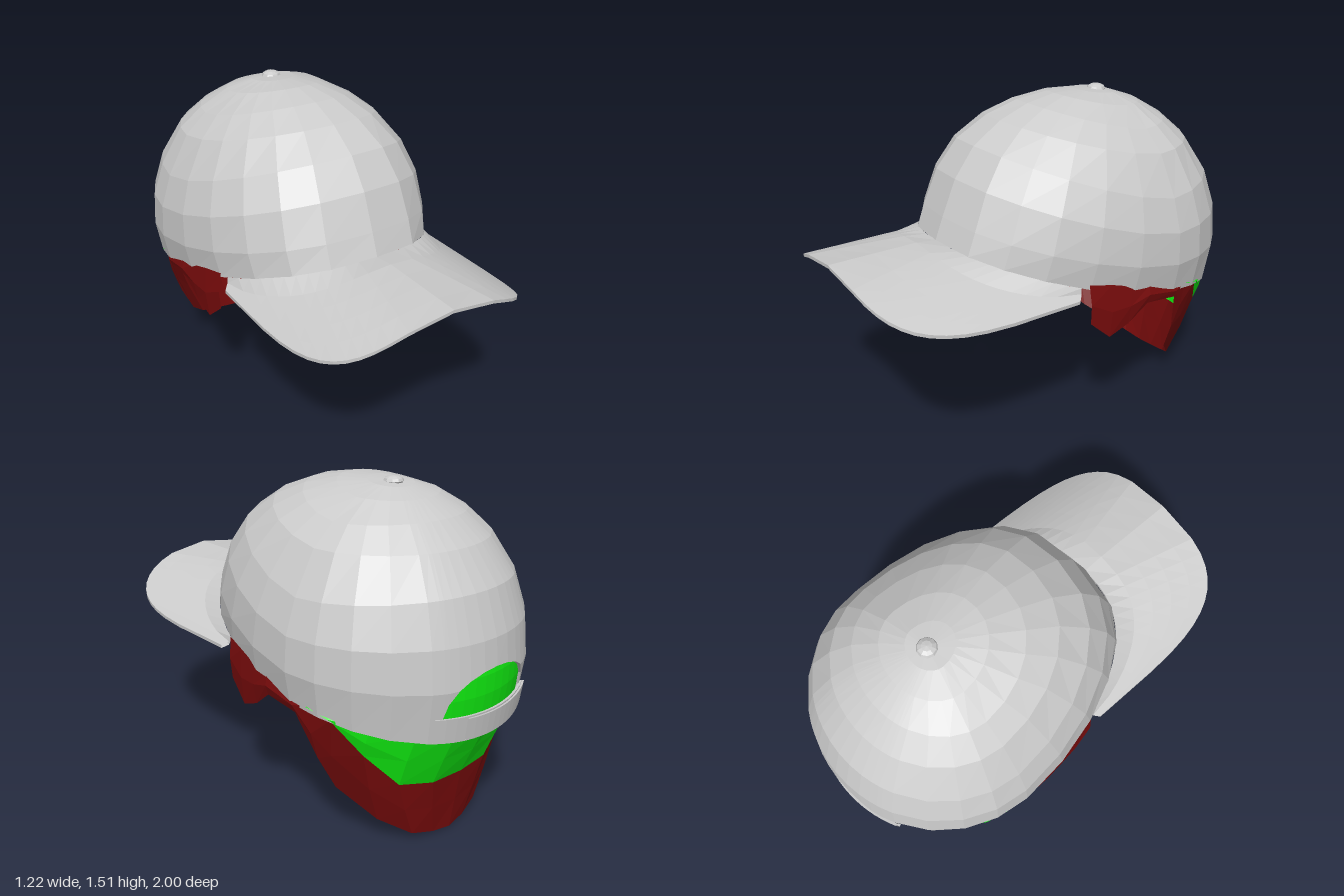
import * as THREE from 'three';

const mat = (color) => new THREE.MeshStandardMaterial({ color, flatShading: true, side: THREE.DoubleSide });
const grey = mat(0xcccccc);
const green = mat(0x11ee11);
const red = mat(0x7a0c0c);

// Skin a grid of points: rows[i][j] = [x, y, z]
function skin(rows, name, material) {
  const n = rows[0].length, index = [];
  for (let i = 0; i < rows.length - 1; i++) {
    for (let j = 0; j < n - 1; j++) {
      const a = i * n + j, b = a + 1, c = a + n, d = c + 1;
      index.push(a, b, d, a, d, c);
    }
  }
  const g = new THREE.BufferGeometry();
  g.setAttribute('position', new THREE.Float32BufferAttribute(rows.flat(2), 3));
  g.setIndex(index);
  g.computeVertexNormals();
  const mesh = new THREE.Mesh(g, material);
  mesh.name = name;
  return mesh;
}

// Crown profiles, rim to apex: [distance from the apex axis, height]
const AXIS = -0.41;
const SIDE = [[0.585, 0.66], [0.61, 0.8], [0.6, 0.95], [0.55, 1.1], [0.45, 1.28], [0.35, 1.37], [0.22, 1.45], [0.1, 1.485], [0, 1.49]];
const FRONT = [[0.9, 0.94], [0.86, 1.04], [0.79, 1.2], [0.69, 1.33], [0.55, 1.42], [0.4, 1.475], [0.25, 1.5], [0.12, 1.5], [0, 1.49]];
const BACK = [[0.56, 0.53], [0.59, 0.77], [0.57, 0.95], [0.51, 1.13], [0.4, 1.28], [0.29, 1.375], [0.18, 1.44], [0.08, 1.475], [0, 1.49]];

function sample(profile, t) {
  const i = Math.min(Math.floor(t), profile.length - 2), f = t - i;
  return [0, 1].map((k) => profile[i][k] * (1 - f) + profile[i + 1][k] * f);
}

// Point on the crown at angle a (0 = front, in degrees) and profile position t
function crown(a, t, scale = 1) {
  const s = Math.sin(a * Math.PI / 180), c = Math.cos(a * Math.PI / 180);
  const side = sample(SIDE, t), end = sample(c > 0 ? FRONT : BACK, t);
  const power = c > 0 ? 0.75 + 0.03 * t : 1;
  const w = Math.abs(c) ** 1.3;
  return [
    Math.sign(s) * Math.abs(s) ** power * side[0] * scale,
    side[1] * (1 - w) + end[1] * w - (1 - scale) * t * 0.1,
    AXIS + c * end[0] * scale,
  ];
}

// Lower edge of the crown, raised to an arch at the back
const NOTCH = 25;
function edge(a) {
  const u = Math.abs(a - 180) / NOTCH;
  return u < 1 ? 0.4 + 0.95 * Math.sqrt(1 - u * u) : 0;
}

function buildCrown() {
  const angles = [];
  for (let a = 0; a <= 150; a += 15) angles.push(a);
  angles.push(155, 155.1, 157, 161, 166, 173);
  const all = [...angles, 180, ...angles.map((a) => 360 - a).reverse()];
  const rows = [];
  // Inner wall down to the edge, then outer wall up to the apex
  for (let t = 8; t >= 0; t--) rows.push(all.map((a) => crown(a, Math.max(t, edge(a)), 0.97)));
  for (let t = 0; t <= 8; t++) rows.push(all.map((a) => crown(a, Math.max(t, edge(a)))));
  return skin(rows, 'crown', grey);
}

// Brim: from the front rim of the crown to a rounded, arched outline
function buildBrim() {
  const cols = 24, steps = 5, rows = [];
  const point = (j, k, drop) => {
    const u = (j / cols) * 2 - 1;
    const p = u * Math.PI / 2, sx = Math.sin(p), cz = Math.abs(Math.cos(p));
    const inner = crown(u * 57, 0, 0.995);
    const outer = [Math.sign(sx) * 0.54 * Math.abs(sx) ** 0.47, 0, 0.11 + 0.885 * cz ** 0.47];
    const f = k / steps;
    const x = inner[0] * (1 - f) + outer[0] * f, z = inner[2] * (1 - f) + outer[2] * f;
    const arch = 0.945 + 0.015 * z - 0.2 * (x / 0.54) ** 2;
    const y = k === 0 ? inner[1] : arch;
    return [x, y - drop, z];
  };
  const line = (k, drop) => Array.from({ length: cols + 1 }, (_, j) => point(j, k, drop));
  for (let k = steps; k >= 0; k--) rows.push(line(k, 0));
  for (let k = 0; k <= steps; k++) rows.push(line(k, 0.015));
  rows.push(line(steps, 0));
  return skin(rows, 'brim', grey);
}

// Closed band that follows the back of the crown
function band(name, from, to, low, high, inside, outside) {
  const loop = [[low, inside], [high, inside], [high, outside], [low, outside], [low, inside]];
  const rows = loop.map(([t, s]) => Array.from({ length: 13 }, (_, j) => crown(from + (to - from) * j / 12, t, s)));
  return skin(rows, name, grey);
}

// Hair columns from sideburn to nape: top, colour line, bottom
const HAIR = [
  [[0.53, 0.8, 0.05], [0.53, 0.8, 0.05], [0.535, 0.61, 0.04]],
  [[0.555, 0.78, -0.06], [0.555, 0.78, -0.06], [0.55, 0.52, -0.06]],
  [[0.57, 0.75, -0.16], [0.57, 0.75, -0.16], [0.56, 0.56, -0.16]],
  [[0.58, 0.73, -0.26], [0.58, 0.73, -0.26], [0.575, 0.64, -0.26]],
  [[0.58, 0.69, -0.42], [0.58, 0.69, -0.42], [0.575, 0.62, -0.43]],
  [[0.57, 0.67, -0.5], [0.57, 0.67, -0.5], [0.51, 0.41, -0.495]],
  [[0.545, 0.65, -0.6], [0.54, 0.63, -0.6], [0.44, 0.26, -0.53]],
  [[0.46, 0.62, -0.745], [0.45, 0.48, -0.7], [0.33, 0.12, -0.67]],
  [[0.325, 0.59, -0.87], [0.32, 0.33, -0.78], [0.21, 0.04, -0.765]],
  [[0.17, 0.57, -0.94], [0.17, 0.305, -0.835], [0.1, 0.013, -0.79]],
  [[0, 0.56, -0.96], [0, 0.3, -0.845], [0, 0, -0.8]],
];

function buildHair() {
  const group = new THREE.Group();
  group.name = 'hair';
  const mirrored = HAIR.slice(0, -1).reverse().map((col) => col.map(([x, y, z]) => [-x, y, z]));
  const cols = [...HAIR, ...mirrored];
  const row = (k, list) => list.map((col) => col[k]);
  const mid = (a, b, bulge) => a.map((p, i) => p.map((v, k) => (v + b[i][k]) / 2 * (k === 0 ? bulge : 1)));
  const upper = cols.slice(5, -5);
  group.add(skin([row(1, upper), mid(row(0, upper), row(1, upper), 1.02), row(0, upper)], 'upperHair', green));
  group.add(skin([row(2, cols), mid(row(1, cols), row(2, cols), 1.02), row(1, cols)], 'lowerHair', red));
  // Hair seen through the opening at the back
  const patch = [0, 0.4, 0.8, 1.2, 1.5].map((t) =>
    Array.from({ length: 11 }, (_, j) => crown(154 + 5.2 * j, t, 0.983)));
  group.add(skin(patch, 'openingHair', green));
  return group;
}

export function createModel() {
  const model = new THREE.Group();
  model.name = 'capWithHair';
  model.add(buildCrown(), buildBrim(), buildHair());

  // Adjusting strap and its overlapping tab
  model.add(band('strap', 152, 208, 0.02, 0.5, 0.995, 1.015));
  model.add(band('strapTab', 166, 209, 0.05, 0.47, 1.01, 1.03));

  // Button on top
  const button = new THREE.Mesh(new THREE.SphereGeometry(0.045, 10, 6), grey);
  button.name = 'button';
  button.scale.y = 0.5;
  button.position.set(0, 1.488, AXIS);
  model.add(button);
  return model;
}
